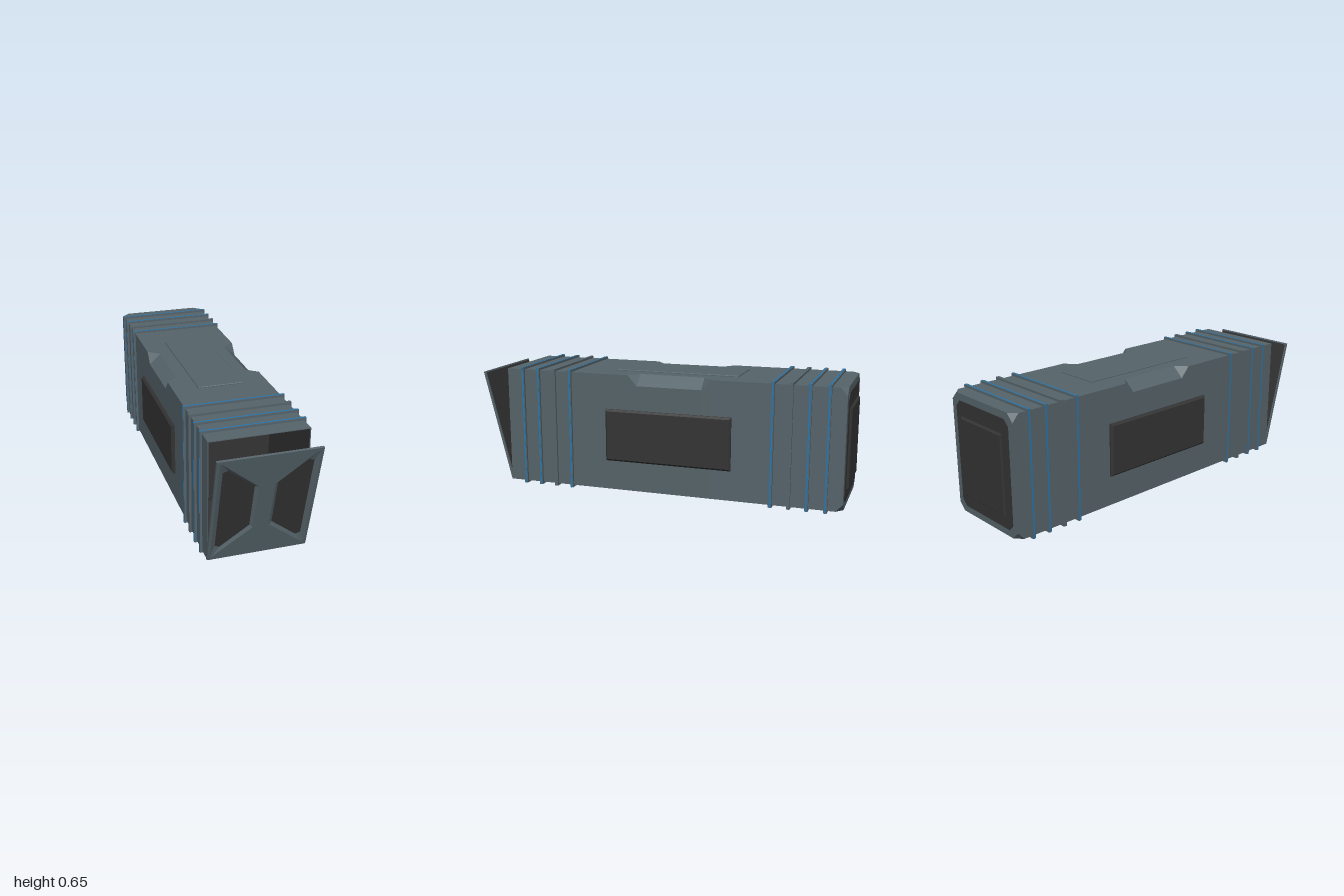
import * as THREE from 'three';

const slate = new THREE.MeshStandardMaterial({ color: 0x56646a, side: THREE.DoubleSide });
slate.name = 'slate';
const charcoal = new THREE.MeshStandardMaterial({ color: 0x343434, side: THREE.DoubleSide });
charcoal.name = 'charcoal';
const blue = new THREE.MeshStandardMaterial({ color: 0x2478b4 });
blue.name = 'blue';

const MID = 0.325, HW = 0.247, HH = 0.313;
const FRONT = 0.85, BACK = -0.985;

function add(parent, name, geometry, material, x = 0, y = 0, z = 0) {
  const mesh = new THREE.Mesh(geometry, material);
  mesh.name = name;
  mesh.position.set(x, y, z);
  parent.add(mesh);
  return mesh;
}

function makeShape(points) {
  return new THREE.Shape(points.map(([x, y]) => new THREE.Vector2(x, y)));
}

function rectPoints(w, h) {
  return [[-w, -h], [w, -h], [w, h], [-w, h]];
}

// Faceted skin through equal-length loops of [x, y, z] points
function loft(loops) {
  const pos = [];
  for (let i = 0; i + 1 < loops.length; i++) {
    const a = loops[i], b = loops[i + 1], n = a.length;
    for (let j = 0; j < n; j++) {
      const k = (j + 1) % n;
      pos.push(...a[j], ...b[j], ...b[k], ...a[j], ...b[k], ...a[k]);
    }
  }
  const g = new THREE.BufferGeometry();
  g.setAttribute('position', new THREE.Float32BufferAttribute(pos, 3));
  g.computeVertexNormals();
  return g;
}

// Rectangular ring centred on z = 0
function ring(w, h, innerW, innerH, depth) {
  const s = makeShape(rectPoints(w, h));
  s.holes.push(makeShape(rectPoints(innerW, innerH)));
  return new THREE.ExtrudeGeometry(s, { depth, bevelEnabled: false }).translate(0, 0, -depth / 2);
}

// Slab with sloped edges, rising from z = 0 to z = depth
function bevelSlab(w, h, depth, bevel) {
  const at = (inset, z) => rectPoints(w / 2 - inset, h / 2 - inset).map(([x, y]) => [x, y, z]);
  return loft([at(0, 0), at(0, depth - bevel), at(bevel, depth), at(w / 2, depth), ].map((l, i) =>
    i === 3 ? l.map(() => [0, 0, depth]) : l).map(l => l.slice().reverse()));
}

// Cross-section with chamfered corners: top by tx, ty and bottom by b
function section(z, tx = 0, ty = 0, b = 0) {
  return [
    [-HW + b, -HH], [HW - b, -HH], [HW, -HH + b], [HW, HH - ty],
    [HW - tx, HH], [-HW + tx, HH], [-HW, HH - ty], [-HW, -HH + b],
  ].map(([x, y]) => [x, y + MID, z]);
}

function buildBody(model) {
  const body = new THREE.Group();
  body.name = 'body';
  model.add(body);

  // Outer shell with grip cuts on the upper edges and cut corners at the rear
  const rear = section(BACK, 0.04, 0.04, 0.04);
  add(body, 'shell', loft([
    section(FRONT), section(0.15), section(0.1, 0.06, 0.055), section(-0.25, 0.06, 0.055),
    section(-0.3), section(-0.95), rear,
  ]), slate);
  const rearCap = new THREE.ShapeGeometry(makeShape(rear.map(([x, y]) => [x, y])));
  add(body, 'rearWall', rearCap.rotateY(Math.PI), slate, 0, 0, BACK);

  // Open front compartment
  const iw = HW - 0.004, ih = HH - 0.004, depth = 0.51;
  add(body, 'openingRim', ring(HW, HH, iw, ih, 0.004), slate, 0, MID, FRONT - 0.002);
  const inner = z => rectPoints(iw, ih).map(([x, y]) => [x, y + MID, z]);
  add(body, 'compartmentWalls', loft([inner(FRONT - depth), inner(FRONT - 0.003)]), charcoal);
  add(body, 'compartmentBack', new THREE.PlaneGeometry(iw * 2, ih * 2), charcoal, 0, MID, FRONT - depth);
}

function buildRibs(model) {
  // Raised bands, several carrying a slim blue line
  const ribs = [[0.757, 1], [0.665, 1], [0.572, 0], [0.48, 1], [-0.62, 1], [-0.713, 0], [-0.805, 1], [-0.9, 1]];
  for (const [z, lined] of ribs) {
    add(model, 'rib', ring(0.259, 0.324, HW - 0.002, HH - 0.002, 0.018), slate, 0, MID, z);
    if (lined) add(model, 'ribLine', ring(0.26, 0.325, 0.257, 0.322, 0.008), blue, 0, MID, z);
  }
}

function buildPanels(model) {
  // Side pads
  for (const s of [-1, 1]) {
    const pad = add(model, s > 0 ? 'leftPad' : 'rightPad', bevelSlab(0.685, 0.28, 0.018, 0.01),
      charcoal, s * HW, 0.312, -0.068);
    pad.rotation.y = s * Math.PI / 2;
  }
  // Top and bottom plates
  for (const s of [-1, 1]) {
    const plate = add(model, s > 0 ? 'topPlate' : 'bottomPlate', bevelSlab(0.24, 0.685, 0.007, 0.003),
      slate, 0, MID + s * HH, -0.07);
    plate.rotation.x = -s * Math.PI / 2;
  }
  // Rear inlay with cut corners and its raised plate
  const w = 0.212, h = 0.277, c = 0.03;
  const inlay = makeShape([
    [-w + c, -h], [w - c, -h], [w, -h + c], [w, h - c], [w - c, h], [-w + c, h], [-w, h - c], [-w, -h + c],
  ]);
  add(model, 'rearInlay', new THREE.ExtrudeGeometry(inlay, { depth: 0.003, bevelEnabled: false }),
    charcoal, 0, MID, BACK - 0.003);
  const plate = add(model, 'rearPlate', bevelSlab(0.335, 0.415, 0.015, 0.007), charcoal, 0, 0.318, BACK);
  plate.rotation.y = Math.PI;
}

function buildHatch(model) {
  // Hatch hinged at the lower front edge, leaning outward
  const hatch = new THREE.Group();
  hatch.name = 'hatch';
  hatch.position.set(0, 0.013, FRONT);
  hatch.rotation.x = Math.atan2(0.15, 0.6);
  model.add(hatch);

  const thick = 0.012, sink = 0.009, len = 0.617;
  const toLocal = ([x, y]) => [x, (y - 0.013) / 0.97];
  const outer = [[0.04, 0.185], [0.04, 0.437], [0.228, 0.598], [0.236, 0.59], [0.236, 0.038], [0.228, 0.03]].map(toLocal);
  const inner = [[0.055, 0.195], [0.055, 0.435], [0.19, 0.548], [0.215, 0.54], [0.215, 0.09], [0.19, 0.082]].map(toLocal);
  const mirror = (pts, s) => pts.map(([x, y]) => [x * s, y]);

  const face = makeShape([[-0.25, 0], [0.25, 0], [0.25, len], [-0.25, len]]);
  for (const s of [-1, 1]) {
    const rim = mirror(outer, s), floor = mirror(inner, s);
    face.holes.push(makeShape(rim));
    // Sloped recess leading down to a dark inset
    const loops = [rim.map(p => [...p, 0]), floor.map(p => [...p, -sink])];
    if (s < 0) loops.reverse();
    add(hatch, 'recessSlope', loft(loops), slate);
    add(hatch, 'recessInset', new THREE.ShapeGeometry(makeShape(floor)), charcoal, 0, 0, -sink);
  }
  add(hatch, 'hatchFace', new THREE.ExtrudeGeometry(face, { depth: thick, bevelEnabled: false }),
    slate, 0, 0, -thick);
  add(hatch, 'hatchLining', new THREE.BoxGeometry(0.484, len - 0.016, 0.002), charcoal, 0, len / 2, -thick - 0.001);
}

export function createModel() {
  const model = new THREE.Group();
  model.name = 'container';
  buildBody(model);
  buildRibs(model);
  buildPanels(model);
  buildHatch(model);
  return model;
}
